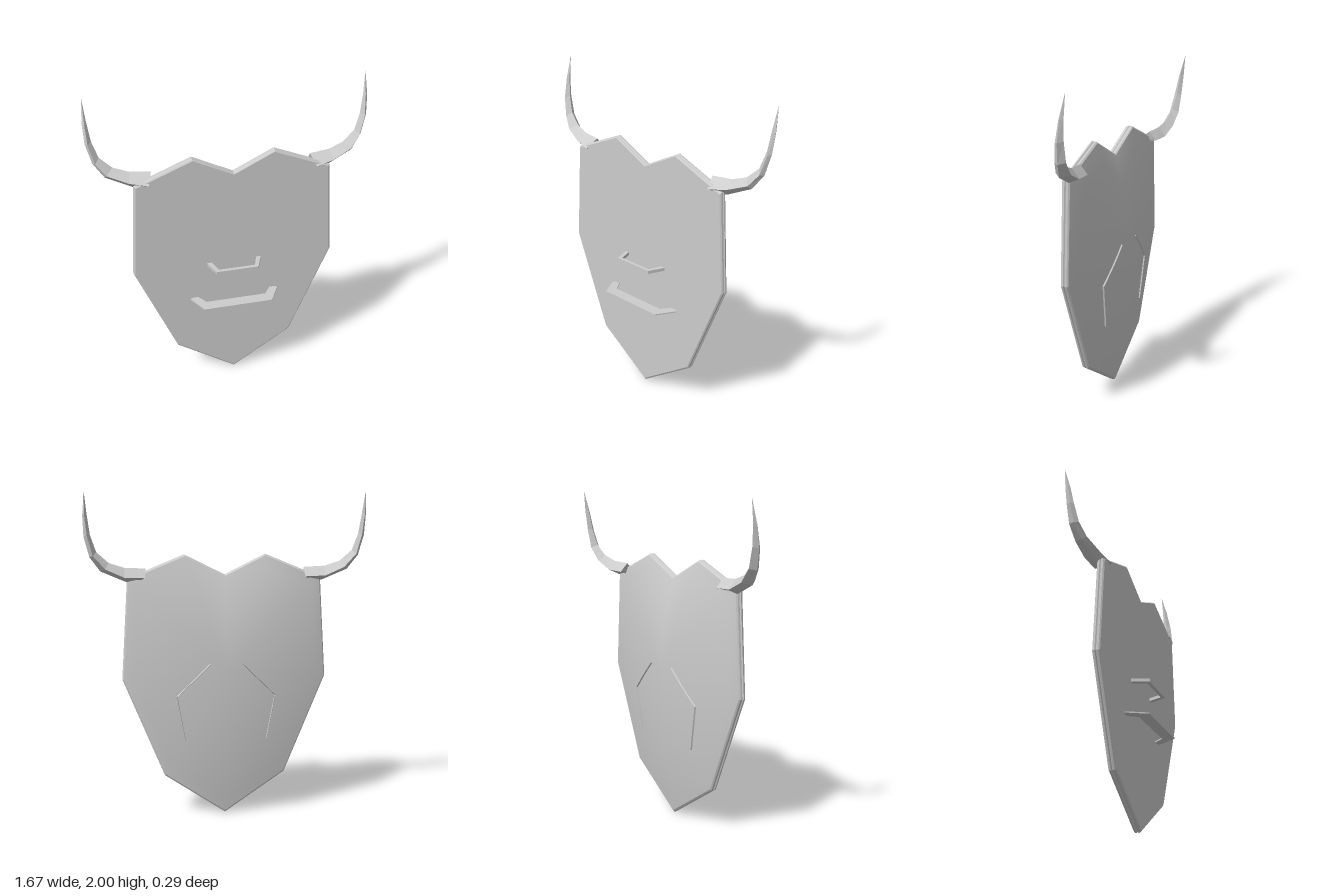
import * as THREE from 'three';
import { mergeVertices } from 'three/addons/utils/BufferGeometryUtils.js';

const CY = 0.95; // height of the dome's apex
const RIM_Z = -0.036;
const BULGE = 0.088;

// Shield outline, counter-clockwise from the bottom point
const half = [[0.375, 0.26], [0.625, 0.875], [0.585, 1.487], [0.245, 1.627]];
const outline = [[0, 0.005], ...half, [0, 1.505], ...half.map(([x, y]) => [-x, y]).reverse()];

// Skin closed rings of points; a ring collapsed to one point closes an end
function loft(rings, { flip = false, smooth = false } = {}) {
  const pos = [];
  const n = rings[0].length;
  const same = (p, q) => Math.hypot(p[0] - q[0], p[1] - q[1], p[2] - q[2]) < 1e-6;
  const tri = (a, b, c) => {
    if (same(a, b) || same(b, c) || same(a, c)) return;
    pos.push(...a, ...(flip ? c : b), ...(flip ? b : c));
  };
  for (let i = 0; i < rings.length - 1; i++) {
    for (let j = 0; j < n; j++) {
      const k = (j + 1) % n;
      const a = rings[i][j], b = rings[i][k], c = rings[i + 1][k], d = rings[i + 1][j];
      tri(a, c, b);
      tri(a, d, c);
    }
  }
  let geo = new THREE.BufferGeometry();
  geo.setAttribute('position', new THREE.Float32BufferAttribute(pos, 3));
  if (smooth) geo = mergeVertices(geo, 1e-5);
  geo.computeVertexNormals();
  return geo;
}

const collapse = (ring) => {
  const c = [0, 1, 2].map((k) => ring.reduce((s, p) => s + p[k], 0) / ring.length);
  return ring.map(() => c);
};

const outlineRing = (t, z) => outline.map(([x, y]) => [x * t, CY + (y - CY) * t, z]);
const domeZ = (t) => RIM_Z - BULGE * (1 - t * t);

// Depth of the dome's surface at any point inside the outline
function domeZAt(x, y) {
  const py = y - CY;
  for (let j = 0; j < outline.length; j++) {
    const [ax, ay0] = outline[j], [bx, by0] = outline[(j + 1) % outline.length];
    const ay = ay0 - CY, by = by0 - CY, det = ax * by - ay * bx;
    const u = (x * by - py * bx) / det, v = (ax * py - ay * x) / det;
    if (u >= -1e-6 && v >= -1e-6) return domeZ(u + v);
  }
  return RIM_Z;
}

// Horn cross-sections: top, front, lower and back edge at each station
const hornSections = [
  [[0.475, 1.548, -0.045], [0.5, 1.492, 0.025], [0.505, 1.475, -0.02], [0.48, 1.495, -0.093]],
  [[0.6, 1.555, -0.06], [0.61, 1.51, 0], [0.59, 1.468, -0.035], [0.6, 1.5, -0.105]],
  [[0.69, 1.585, -0.075], [0.73, 1.555, -0.035], [0.74, 1.535, -0.06], [0.71, 1.55, -0.115]],
  [[0.76, 1.65, -0.09], [0.785, 1.625, -0.06], [0.8, 1.62, -0.085], [0.78, 1.63, -0.125]],
  [[0.793, 1.75, -0.105], [0.815, 1.735, -0.08], [0.83, 1.74, -0.1], [0.81, 1.745, -0.13]],
  [[0.808, 1.87, -0.12], [0.82, 1.86, -0.107], [0.833, 1.86, -0.118], [0.822, 1.865, -0.138]],
];
const hornTip = [0.82, 2, -0.148];

function hornGeometry(s) {
  const rings = [collapse(hornSections[0]), ...hornSections, hornSections[0].map(() => hornTip)]
    .map((r) => r.map(([x, y, z]) => [s * x, y, z]));
  return loft(rings, { flip: s > 0 });
}

// Thin bent ridge lying on the dome
function ridgeGeometry(s) {
  const corners = [[0.1, 0.975], [0.3, 0.775], [0.25, 0.495]];
  const path = [];
  const steps = 6;
  for (let i = 0; i < 2; i++) {
    for (let k = i ? 1 : 0; k <= steps; k++) {
      const f = k / steps;
      path.push([0, 1].map((c) => corners[i][c] + (corners[i + 1][c] - corners[i][c]) * f));
    }
  }
  const pts = path.map(([x, y]) => [s * x, y]);
  const rings = pts.map(([x, y], i) => {
    const p = pts[Math.max(i - 1, 0)], q = pts[Math.min(i + 1, pts.length - 1)];
    const len = Math.hypot(q[0] - p[0], q[1] - p[1]);
    const w = 0.007 * (1 - 0.5 * i / (pts.length - 1));
    const nx = -(q[1] - p[1]) / len * w, ny = (q[0] - p[0]) / len * w;
    const z = domeZAt(x, y);
    return [[x + nx, y + ny, z + 0.004], [x, y, z - 0.007], [x - nx, y - ny, z + 0.004]];
  });
  return loft([collapse(rings[0]), ...rings, collapse(rings[rings.length - 1])]);
}

// Bracket-shaped grip: half profile in x and z, mirrored and given a thickness
function gripGeometry(outer, inner, y, thickness) {
  const right = [...outer].reverse();
  const left = outer.map(([x, z]) => [-x, z]);
  const innerLeft = [...inner].reverse().map(([x, z]) => [-x, z]);
  const pts = [...right.reverse(), ...left.reverse(), ...innerLeft.reverse(), ...[...inner].reverse()];
  const shape = new THREE.Shape(pts.map(([x, z]) => new THREE.Vector2(x, z)));
  const geo = new THREE.ExtrudeGeometry(shape, { depth: thickness, bevelEnabled: false });
  geo.rotateX(Math.PI / 2);
  geo.translate(0, y + thickness / 2, 0);
  return geo;
}

export function createModel() {
  const group = new THREE.Group();
  const grey = new THREE.MeshStandardMaterial({ color: 0xcccccc });
  grey.name = 'light grey';
  const add = (name, geo) => {
    const mesh = new THREE.Mesh(geo, grey);
    mesh.name = name;
    group.add(mesh);
  };

  // Flat front and rounded rim with a shallow groove
  const rim = [[0.01, 0.012], [0.002, 0.005], [0, -0.006], [0.007, -0.012],
    [0, -0.018], [0.002, -0.028], [0.01, RIM_Z]];
  const rimRings = rim.map(([inset, z]) => outlineRing(1 - inset / 0.65, z));
  add('shieldPlate', loft([outlineRing(0, 0.012), ...rimRings]));

  // Domed rear
  const dome = [];
  const domeSteps = 12;
  for (let i = 0; i <= domeSteps; i++) {
    const t = 1 - i / domeSteps;
    dome.push(outlineRing(t * 0.985, domeZ(t)));
  }
  add('dome', loft(dome, { smooth: true }));

  for (const s of [1, -1]) {
    const side = s > 0 ? 'left' : 'right';
    add(side + 'Horn', hornGeometry(s));
    add(side + 'Ridge', ridgeGeometry(s));
  }

  // Hand grip and wider arm strap on the front
  add('handGrip', gripGeometry(
    [[0.17, 0.015], [0.13, 0.117]], [[0.145, 0], [0.113, 0.095]], 0.88, 0.02));
  add('armStrap', gripGeometry(
    [[0.283, 0.022], [0.215, 0.145]], [[0.24, 0], [0.19, 0.073]], 0.633, 0.008));

  return group;
}
